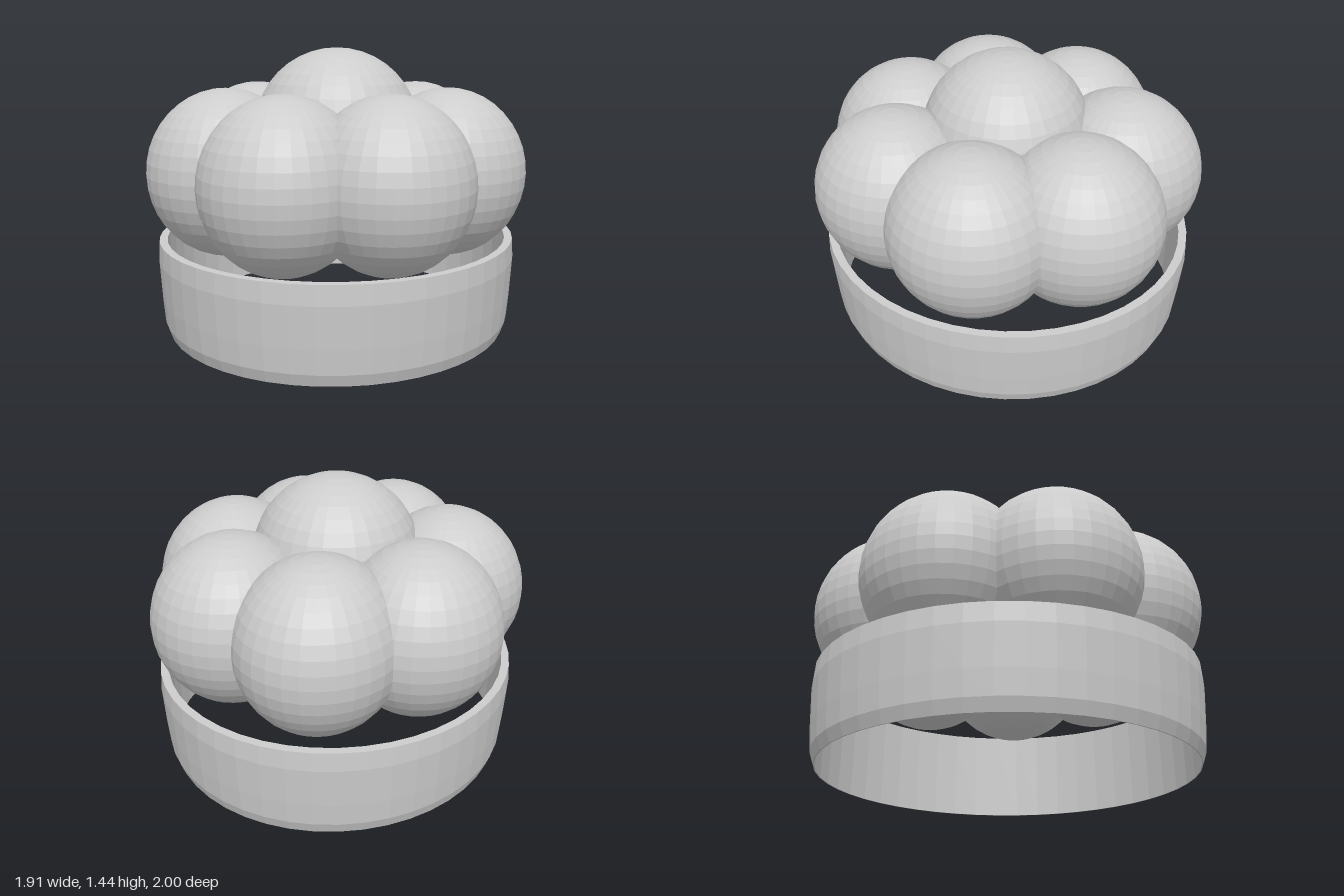
import * as THREE from 'three';

export function createModel() {
  const group = new THREE.Group();
  const grey = new THREE.MeshStandardMaterial({ color: 0xcccccc, flatShading: true });
  grey.name = 'light grey';
  const centreX = -0.027;

  // Oval band with a flat rim and a sharp lower edge
  const profile = [
    [0.885, 0], [0.89, 0], [0.91, 0.06], [0.92, 0.18], [0.931, 0.38],
    [0.925, 0.475], [0.885, 0.475], [0.885, 0],
  ].map(([x, y]) => new THREE.Vector2(x, y));
  const band = new THREE.Mesh(new THREE.LatheGeometry(profile, 48), grey);
  band.name = 'band';
  band.position.x = centreX;
  band.scale.z = 1.06;
  group.add(band);

  // Faceted ball, stretched to the given radii
  const ballGeometry = new THREE.SphereGeometry(1, 32, 20);
  function addBall(name, position, radii) {
    const ball = new THREE.Mesh(ballGeometry, grey);
    ball.name = name;
    ball.position.set(...position);
    ball.scale.set(...radii);
    group.add(ball);
  }

  // Seven balls around the crown
  for (let i = 0; i < 7; i++) {
    const a = (i / 7) * Math.PI * 2;
    addBall(`outerBall${i + 1}`,
      [centreX + 0.576 * Math.cos(a), 0.812, 0.595 * Math.sin(a)],
      [0.405, 0.43, 0.42]);
  }

  // Raised middle ball
  addBall('middleBall', [centreX, 1.007, 0], [0.433, 0.433, 0.433]);

  return group;
}
